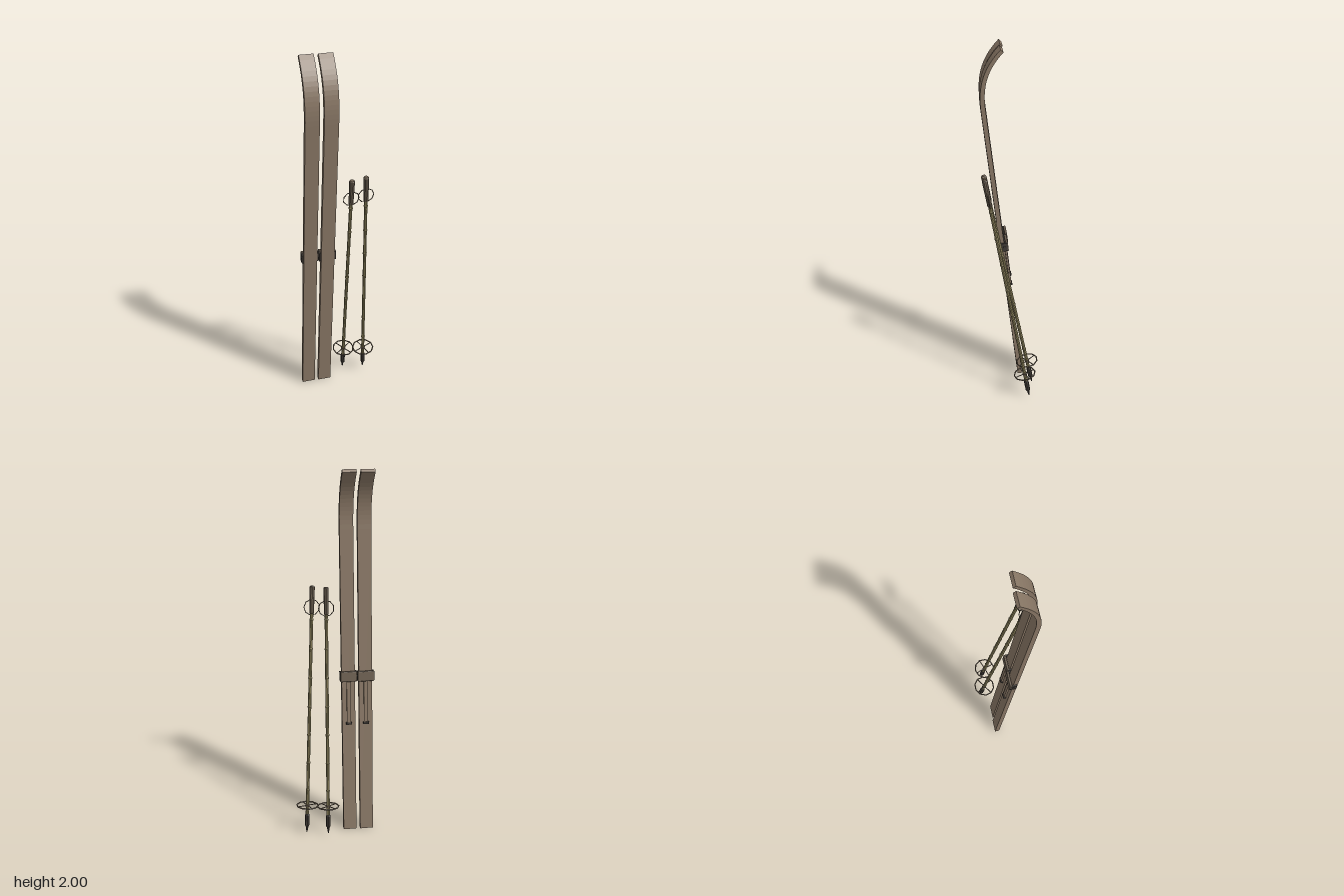
import * as THREE from 'three';
import { RoundedBoxGeometry } from 'three/addons/geometries/RoundedBoxGeometry.js';

const mat = (color) => new THREE.MeshStandardMaterial({ color, flatShading: true });
const wood = mat(0x8a7866);
const bamboo = mat(0x968b62);
const leather = mat(0x6e6152);
const iron = mat(0x3f3a35);

function add(parent, name, geometry, material, x = 0, y = 0, z = 0) {
  const mesh = new THREE.Mesh(geometry, material);
  mesh.name = name;
  mesh.position.set(x, y, z);
  parent.add(mesh);
  return mesh;
}

const WIDTH = 0.073;
const LEAN = 0.113;

// Side profile of a ski as [z, y]: straight plank, then a tip curling backwards
function skiGeometry() {
  const bend = new THREE.CubicBezierCurve(
    new THREE.Vector2(0.137, 1.68), new THREE.Vector2(0.150, 1.80),
    new THREE.Vector2(0.135, 1.90), new THREE.Vector2(0.038, 2.0));
  const front = [new THREE.Vector2(-0.053, 0)];
  const back = [new THREE.Vector2(-0.079, 0)];
  const n = 14;
  for (let i = 0; i <= n; i++) {
    const p = bend.getPoint(i / n);
    const t = bend.getTangent(i / n);
    const thick = 0.024 - 0.005 * (i / n);
    front.push(p);
    back.push(new THREE.Vector2(p.x - t.y * thick, p.y + t.x * thick));
  }
  const shape = new THREE.Shape([...front, ...back.reverse()]);
  const g = new THREE.ExtrudeGeometry(shape, { depth: WIDTH, bevelEnabled: false });
  g.translate(0, 0, -WIDTH / 2);
  g.rotateY(-Math.PI / 2);
  return g;
}

// Binding fixed to the rear face of a ski; local -z points away from the ski
function makeBinding() {
  const b = new THREE.Group();
  b.name = 'binding';
  add(b, 'toeStrap', new RoundedBoxGeometry(0.09, 0.058, 0.014, 2, 0.005), leather, 0, 0, -0.011);
  for (const s of [-1, 1]) {
    add(b, 'sideBracket', new THREE.BoxGeometry(0.009, 0.05, 0.034), iron, s * 0.0415, 0, 0.005);
    add(b, 'bracketRivet', new THREE.CylinderGeometry(0.007, 0.007, 0.004, 8), iron, s * 0.0455, 0, 0.004)
      .rotation.z = Math.PI / 2;
  }
  add(b, 'footRail', new THREE.BoxGeometry(0.022, 0.27, 0.01), wood, 0, -0.135, -0.004);
  add(b, 'heelStop', new THREE.BoxGeometry(0.031, 0.012, 0.014), iron, 0, -0.268, -0.006);
  return b;
}

function makeSki(x, z) {
  const ski = new THREE.Group();
  ski.name = 'ski';
  add(ski, 'plank', skiGeometry(), wood);
  const binding = makeBinding();
  binding.position.set(0, 0.9, 0.021);
  binding.rotation.x = LEAN;
  ski.add(binding);
  ski.position.set(x, 0, z);
  return ski;
}

// Pole built along local +y, then aimed from its tip to the top of its grip
function makePole(tip, top, spin) {
  const pole = new THREE.Group();
  pole.name = 'pole';
  const dir = top.clone().sub(tip);
  const len = dir.length();

  // Bamboo shaft with raised joints
  const pts = [new THREE.Vector2(0.0095, 0.09)];
  for (let y = 0.25; y < len - 0.17; y += 0.16) {
    pts.push(new THREE.Vector2(0.0092, y - 0.007), new THREE.Vector2(0.0118, y),
      new THREE.Vector2(0.0092, y + 0.007));
  }
  pts.push(new THREE.Vector2(0.0095, len - 0.1));
  add(pole, 'shaft', new THREE.LatheGeometry(pts, 8), bamboo);

  // Lower sleeve and spike
  const foot = [[0, 0], [0.003, 0.004], [0.008, 0.036], [0.013, 0.042], [0.0135, 0.1], [0.009, 0.112]];
  add(pole, 'tipSleeve', new THREE.LatheGeometry(foot.map(([r, y]) => new THREE.Vector2(r, y)), 8), iron);

  // Grip with a slightly domed end
  const grip = [[0.009, len - 0.15], [0.0125, len - 0.147], [0.0145, len - 0.006], [0.011, len - 0.001], [0, len]];
  add(pole, 'grip', new THREE.LatheGeometry(grip.map(([r, y]) => new THREE.Vector2(r, y)), 10), leather);

  // Wrist loop
  add(pole, 'wristLoop', new THREE.TorusGeometry(0.042, 0.0025, 5, 9), leather, 0, len - 0.115, 0);

  // Basket ring, hub and crossed spokes
  const basket = new THREE.Group();
  basket.name = 'basket';
  basket.position.y = 0.16;
  basket.rotation.y = spin;
  add(basket, 'basketRing', new THREE.TorusGeometry(0.06, 0.0038, 6, 10), leather).rotation.x = Math.PI / 2;
  add(basket, 'basketHub', new THREE.CylinderGeometry(0.0125, 0.0125, 0.014, 8), leather);
  for (let i = 0; i < 2; i++) {
    const spoke = add(basket, 'basketSpoke', new THREE.CylinderGeometry(0.0028, 0.0028, 0.12, 6), leather);
    spoke.rotation.set(Math.PI / 2, 0, i * Math.PI / 2);
  }
  pole.add(basket);

  pole.position.copy(tip);
  pole.quaternion.setFromUnitVectors(new THREE.Vector3(0, 1, 0), dir.normalize());
  return pole;
}

export function createModel() {
  const model = new THREE.Group();
  model.name = 'skisAndPoles';
  model.add(makeSki(-0.178, -0.002), makeSki(-0.084, 0.003));
  model.add(
    makePole(new THREE.Vector3(0.048, 0.012, -0.122), new THREE.Vector3(0.02, 1.372, 0.139), 0.6),
    makePole(new THREE.Vector3(0.166, 0.012, -0.092), new THREE.Vector3(0.094, 1.382, 0.139), 0.35));
  return model;
}
